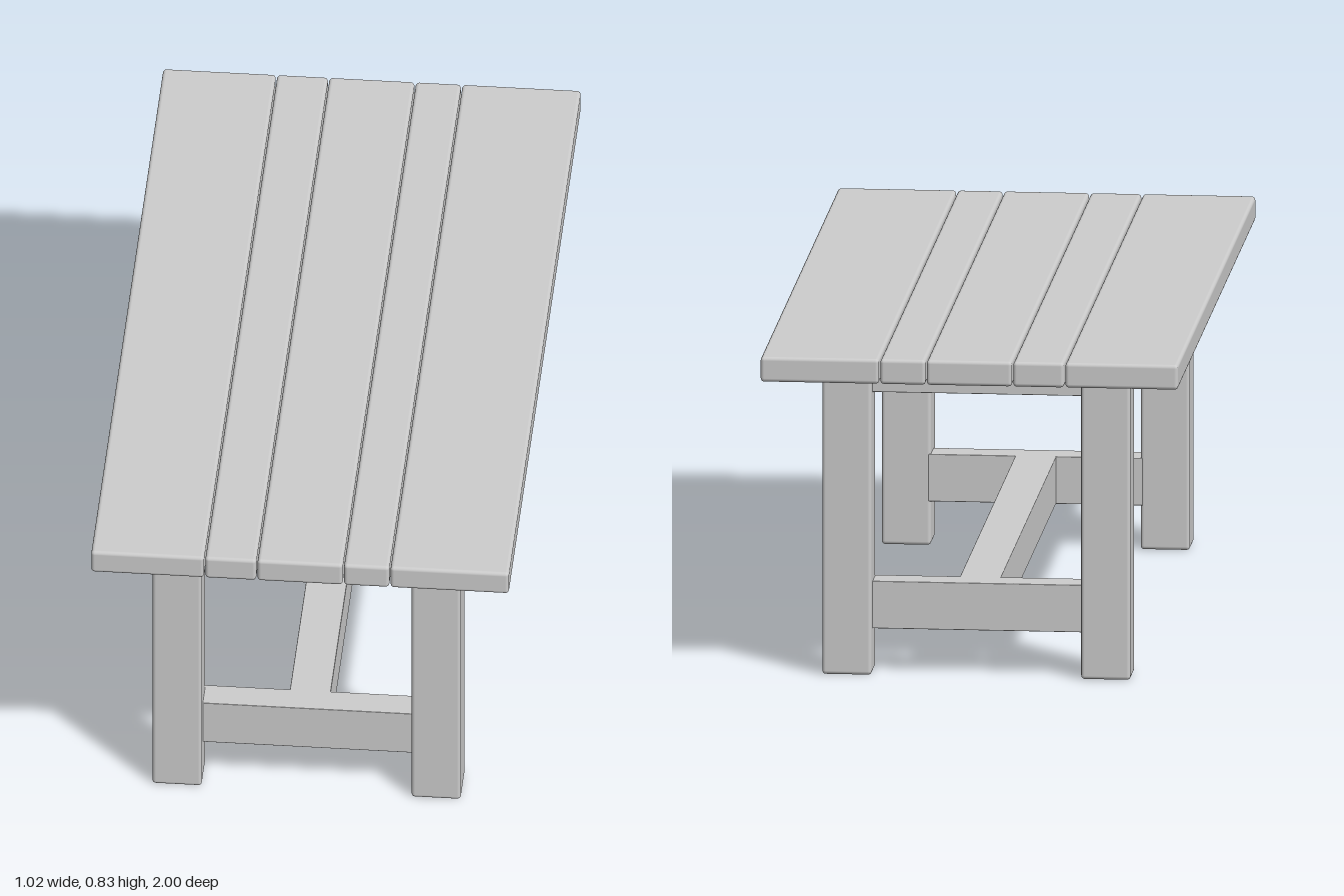
import * as THREE from 'three';
import { RoundedBoxGeometry } from 'three/addons/geometries/RoundedBoxGeometry.js';

const material = new THREE.MeshStandardMaterial({ color: 0xcccccc });

// Softly edged beam given by its minimum and maximum on each axis
function beam(name, [x0, x1], [y0, y1], [z0, z1], radius) {
  const geometry = new RoundedBoxGeometry(x1 - x0, y1 - y0, z1 - z0, 3, radius);
  const mesh = new THREE.Mesh(geometry, material);
  mesh.name = name;
  mesh.position.set((x0 + x1) / 2, (y0 + y1) / 2, (z0 + z1) / 2);
  return mesh;
}

// Range on the positive side of an axis, mirrored when side is -1
const mirrored = (side, a, b) => (side > 0 ? [a, b] : [-b, -a]);

export function createModel() {
  const table = new THREE.Group();
  table.name = 'table';

  const underside = 0.765, top = 0.827;
  const legX = [0.257, 0.378], legZ = [0.71, 0.82];
  const railDepth = 0.075, tuck = 0.006; // tuck hides rail ends in the legs

  // Table top: five planks of differing width with narrow gaps
  const joints = [-0.512, -0.234, -0.106, 0.106, 0.22, 0.512];
  const gap = 0.003;
  for (let i = 0; i < joints.length - 1; i++) {
    const left = joints[i] + (i > 0 ? gap / 2 : 0);
    const right = joints[i + 1] - (i < joints.length - 2 ? gap / 2 : 0);
    table.add(beam('topPlank', [left, right], [underside, top], [-1, 1], 0.009));
  }

  for (const side of [-1, 1]) {
    // Legs
    for (const end of [-1, 1]) {
      table.add(beam('leg', mirrored(side, ...legX), [0, underside + 0.004],
        mirrored(end, ...legZ), 0.009));
    }

    // Long apron, flush with the inner faces of the legs
    table.add(beam('sideApron', mirrored(side, legX[0], legX[0] + railDepth),
      [0.7, underside + 0.003], [-legZ[0] - tuck, legZ[0] + tuck], 0.002));

    // Short apron and low stretcher at each end
    const railZ = mirrored(side, legZ[0], legZ[0] + railDepth);
    const railX = [-legX[0] - tuck, legX[0] + tuck];
    table.add(beam('endApron', railX, [0.7, underside + 0.003], railZ, 0.002));
    table.add(beam('endStretcher', railX, [0.11, 0.228], railZ, 0.002));
  }

  // Long stretcher joining the two end stretchers
  table.add(beam('centreStretcher', [-0.05, 0.05], [0.11, 0.228],
    [-legZ[0] - tuck, legZ[0] + tuck], 0.002));

  return table;
}
